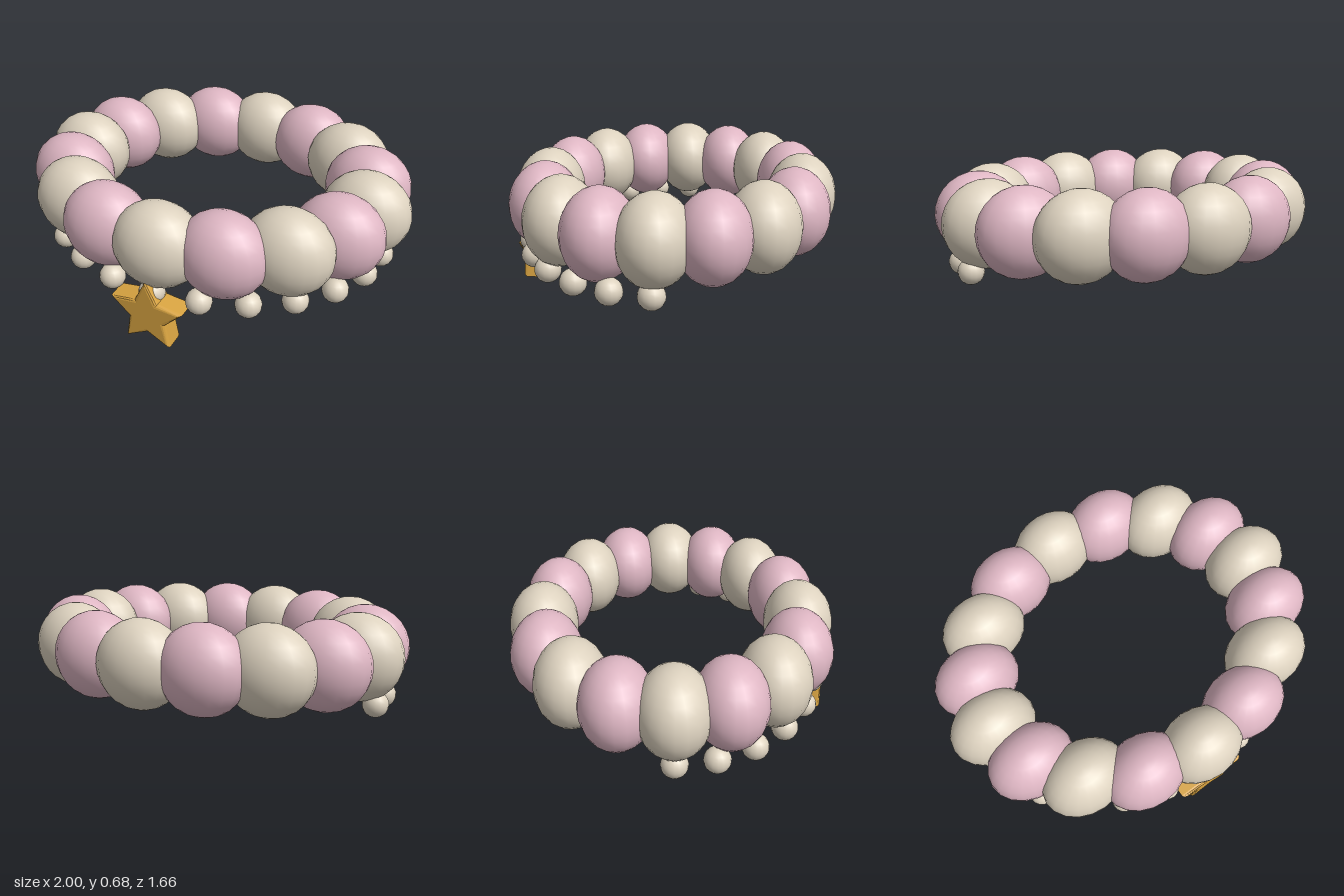
import * as THREE from 'three';

const material = (name, color) => {
  const m = new THREE.MeshStandardMaterial({ color });
  m.name = name;
  return m;
};

export function createModel() {
  const cream = material('cream', 0xddd2bf);
  const pink = material('pink', 0xdeb6c3);
  const gold = material('gold', 0xd9a441);

  const model = new THREE.Group();
  model.name = 'beadBracelet';

  const add = (name, geometry, mat, x, y, z) => {
    const mesh = new THREE.Mesh(geometry, mat);
    mesh.name = name;
    mesh.position.set(x, y, z);
    model.add(mesh);
    return mesh;
  };

  // Oval ring of large overlapping beads, alternating in colour
  const beadGeometry = new THREE.SphereGeometry(1, 20, 14);
  for (let i = 0; i < 16; i++) {
    const a = (i / 16) * Math.PI * 2;
    add(i % 2 ? 'pinkBead' : 'creamBead', beadGeometry, i % 2 ? pink : cream,
      0.78 * Math.cos(a), 0.472, 0.655 * Math.sin(a)).scale.set(0.22, 0.212, 0.175);
  }

  // Small beads hanging under the front half
  const dropGeometry = new THREE.SphereGeometry(0.063, 16, 12);
  for (let i = 0; i <= 12; i++) {
    const a = (i / 12) * Math.PI;
    add('smallBead', dropGeometry, cream, 0.875 * Math.cos(a), 0.255, 0.73 * Math.sin(a));
  }

  // Star charm with rounded edges
  const points = [];
  for (let i = 0; i < 10; i++) {
    const a = Math.PI / 2 + (i * Math.PI) / 5;
    const r = i % 2 ? 0.077 : 0.168;
    points.push(new THREE.Vector2(r * Math.cos(a), r * Math.sin(a)));
  }
  const starGeometry = new THREE.ExtrudeGeometry(new THREE.Shape(points), {
    depth: 0.08, bevelEnabled: true, bevelThickness: 0.018, bevelSize: 0.018, bevelSegments: 3,
  });
  add('starCharm', starGeometry, gold, 0, 0.157, 0.702);

  return model;
}
